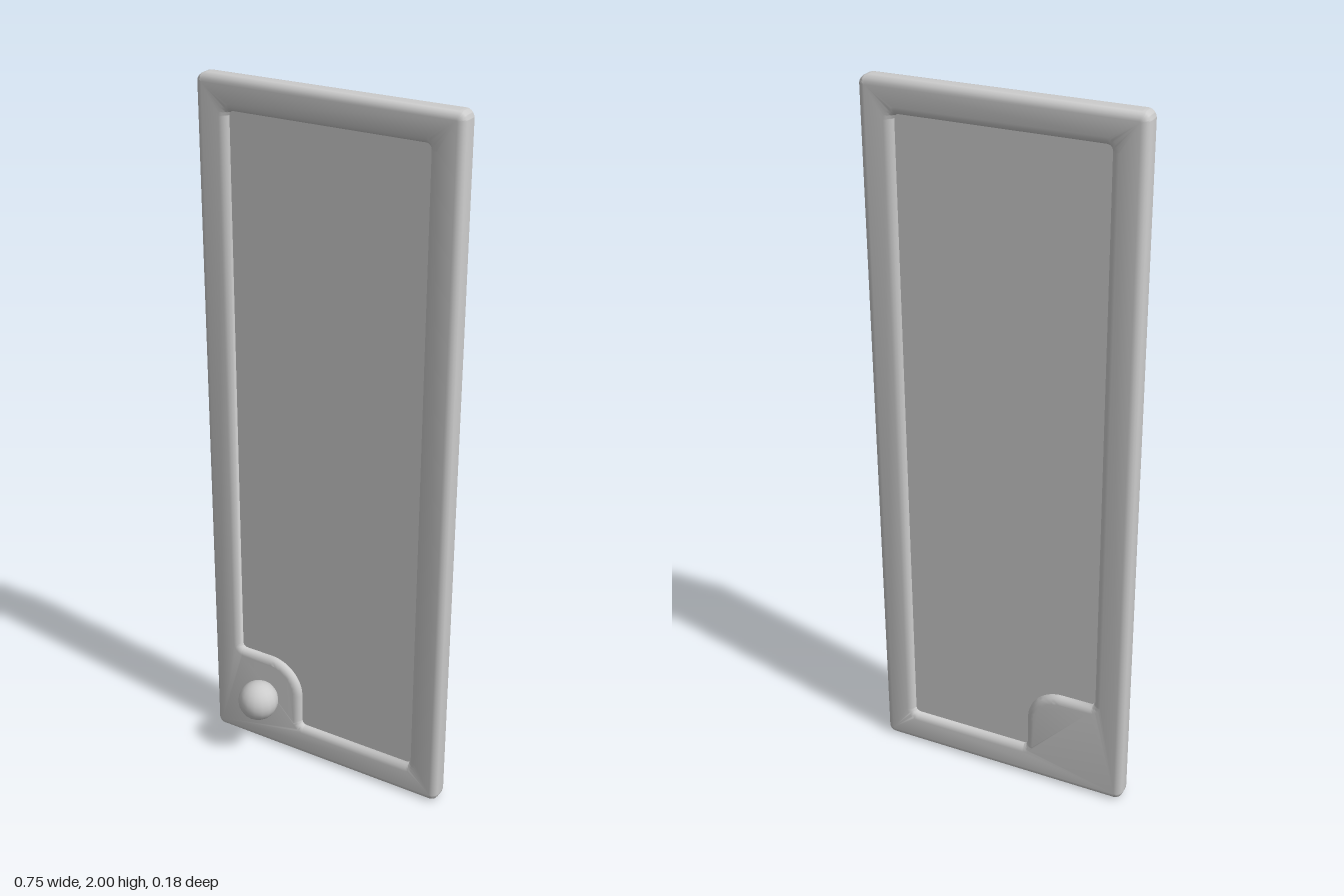
import * as THREE from 'three';
import { toCreasedNormals } from 'three/addons/utils/BufferGeometryUtils.js';

const W = 0.375, H = 2, THICK = 0.065, Z = -0.0575, BEVEL = 0.021;

// Quarter-circle corner; start is the angle where the arc begins
function corner(path, x, y, r, start, clockwise = false) {
  const end = start + (clockwise ? -1 : 1) * Math.PI / 2;
  path.absarc(x, y, r, start, end, clockwise);
}

function frameShape() {
  const P = Math.PI, r = 0.024;
  const shape = new THREE.Shape();
  corner(shape, W - r, r, r, -P / 2);
  corner(shape, W - r, H - r, r, 0);
  corner(shape, -W + r, H - r, r, P / 2);
  corner(shape, -W + r, r, r, P);
  shape.closePath();

  // Opening, notched at the lower corner for the knob plate
  const x = 0.284, y0 = 0.097, y1 = 1.912, nx = -0.08, ny = 0.304, f = 0.014, R = 0.105;
  const hole = new THREE.Path();
  corner(hole, x - f, y0 + f, f, -P / 2);
  corner(hole, x - f, y1 - f, f, 0);
  corner(hole, -x + f, y1 - f, f, P / 2);
  corner(hole, -x + f, ny + f, f, P);
  corner(hole, nx - R, ny - R, R, P / 2, true);
  corner(hole, nx + f, y0 + f, f, P);
  hole.closePath();
  shape.holes.push(hole);
  return shape;
}

export function createModel() {
  const group = new THREE.Group();
  const material = new THREE.MeshStandardMaterial({ color: 0xcccccc });
  const add = (name, geometry, x, y, z) => {
    const mesh = new THREE.Mesh(geometry, material);
    mesh.name = name;
    mesh.position.set(x, y, z);
    group.add(mesh);
  };

  // Rounded door frame with the knob plate in one corner
  const frame = new THREE.ExtrudeGeometry(frameShape(), {
    depth: THICK - 2 * BEVEL, bevelEnabled: true, bevelThickness: BEVEL,
    bevelSize: BEVEL, bevelOffset: -BEVEL, bevelSegments: 4, curveSegments: 8,
  });
  frame.deleteAttribute('uv');
  frame.translate(0, 0, -THICK / 2 + BEVEL);
  add('doorFrame', toCreasedNormals(frame, 0.7), 0, 0, Z);

  // Recessed panel, visible from both sides
  add('doorPanel', new THREE.BoxGeometry(0.59, 1.84, 0.026), 0, 1.0045, Z);

  // Round knob on the front
  add('knob', new THREE.SphereGeometry(0.059, 16, 12), -0.187, 0.19, 0.03);

  return group;
}
